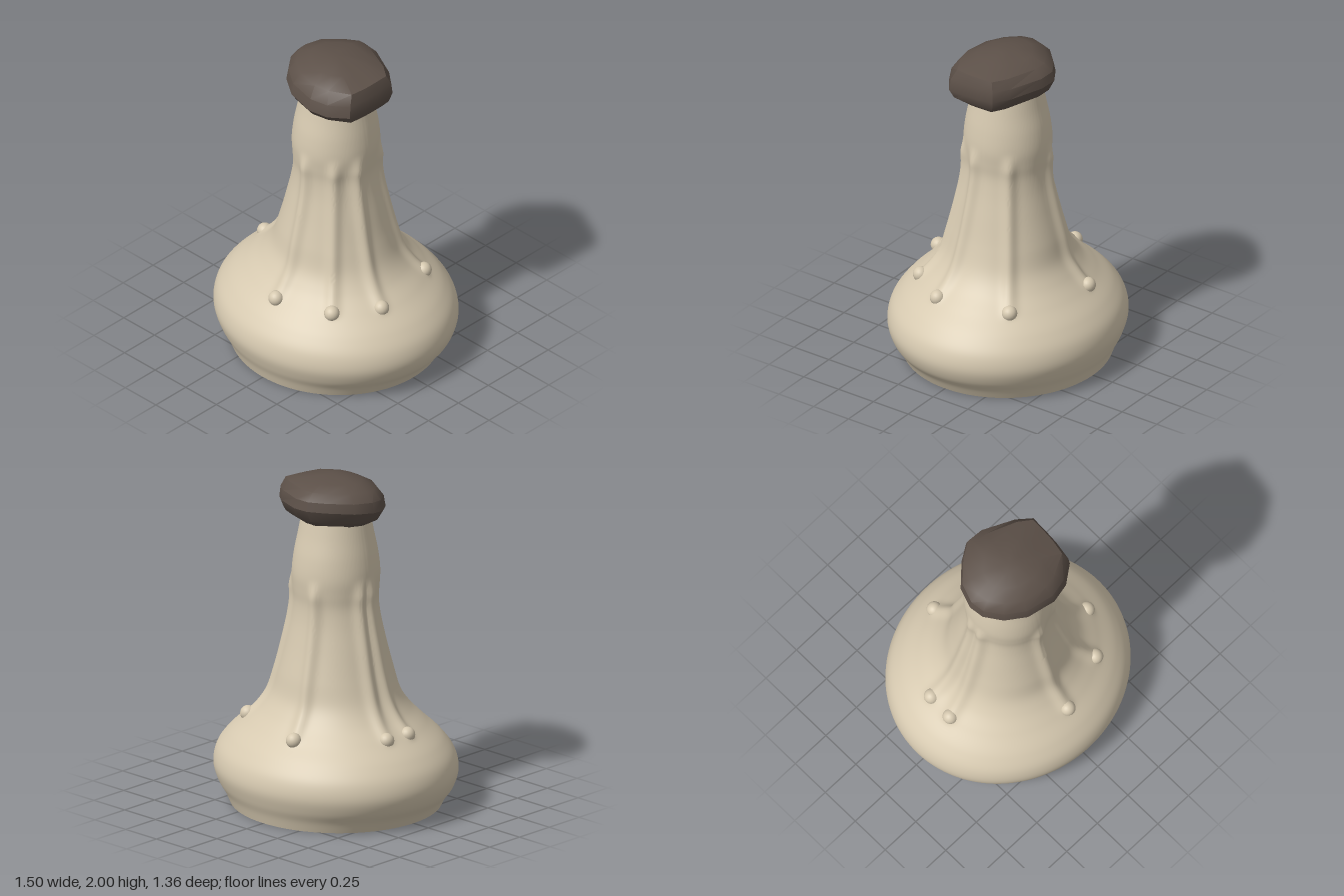
import * as THREE from 'three';
import { toCreasedNormals } from 'three/addons/utils/BufferGeometryUtils.js';

// Body half-width (x), height (y) and half-depth (z)
const profile = new THREE.CatmullRomCurve3([
  [0.63, 0, 0.61], [0.665, 0.06, 0.63], [0.72, 0.13, 0.66], [0.748, 0.22, 0.682], [0.73, 0.31, 0.665],
  [0.665, 0.4, 0.605], [0.55, 0.5, 0.505], [0.45, 0.59, 0.425], [0.39, 0.68, 0.37], [0.34, 0.82, 0.335],
  [0.295, 1.0, 0.29], [0.262, 1.15, 0.26], [0.248, 1.25, 0.252], [0.252, 1.33, 0.258], [0.256, 1.42, 0.262],
  [0.245, 1.53, 0.25], [0.222, 1.66, 0.222], [0.2, 1.78, 0.2],
].map(p => new THREE.Vector3(...p)), false, 'centripetal');

// Plan positions (x, z) of the lower ends of the drips
const drips = [[0, 0.48], [0.32, 0.36], [0.47, 0.13], [0.39, -0.29], [-0.12, -0.46], [-0.47, -0.1], [-0.47, 0.05]];
const dripAngles = drips.map(([x, z]) => Math.atan2(z, x));

// Raised height of the drip ridges at an angle, height and radius
function ridge(angle, y, radius) {
  const fade = THREE.MathUtils.smoothstep(y, 0.47, 0.53) * (1 - THREE.MathUtils.smoothstep(y, 1.3, 1.43));
  let h = 0;
  for (const a of dripAngles) {
    const d = Math.atan2(Math.sin(angle - a), Math.cos(angle - a)) * radius;
    h = Math.max(h, Math.exp(-((d / 0.038) ** 2)));
  }
  return 0.027 * h * fade;
}

// Skin rings of points (listed bottom to top) and close both ends
function skin(rings) {
  const n = rings[0].length, pos = [], idx = [];
  rings.forEach(r => r.forEach(p => pos.push(p.x, p.y, p.z)));
  for (let j = 0; j < rings.length - 1; j++) {
    for (let i = 0; i < n; i++) {
      const a = j * n + i, b = j * n + (i + 1) % n;
      idx.push(a, a + n, b, b, a + n, b + n);
    }
  }
  [0, rings.length - 1].forEach((j, end) => {
    const c = rings[j].reduce((s, p) => s.add(p), new THREE.Vector3()).divideScalar(n);
    const centre = pos.length / 3;
    pos.push(c.x, c.y, c.z);
    for (let i = 0; i < n; i++) {
      const a = j * n + i, b = j * n + (i + 1) % n;
      if (end) idx.push(centre, b, a);
      else idx.push(centre, a, b);
    }
  });
  const g = new THREE.BufferGeometry();
  g.setAttribute('position', new THREE.Float32BufferAttribute(pos, 3));
  g.setIndex(idx);
  g.computeVertexNormals();
  return g;
}

function bodyGeometry() {
  const rings = profile.getSpacedPoints(110).map(p => {
    const ring = [];
    for (let i = 0; i < 200; i++) {
      const t = i / 200 * Math.PI * 2;
      const x = p.x * Math.cos(t), z = p.z * Math.sin(t);
      const r = Math.hypot(x, z), k = 1 + ridge(Math.atan2(z, x), p.y, r) / r;
      ring.push(new THREE.Vector3(x * k, p.y, z * k));
    }
    return ring;
  });
  return toCreasedNormals(skin(rings), 0.8);
}

function capGeometry() {
  // Irregular plan outline, running from +x towards +z
  const outline = [[0.333, -0.02], [0.328, 0.08], [0.31, 0.2], [0.2, 0.28], [0.08, 0.305], [-0.1, 0.27],
    [-0.22, 0.19], [-0.295, 0.09], [-0.31, 0], [-0.27, -0.12], [-0.15, -0.235], [-0.05, -0.297],
    [0.06, -0.29], [0.25, -0.2], [0.335, -0.13]];
  // Height, scale and tilt of each level
  const levels = [[1.735, 0.7, 0.3], [1.765, 0.88, 0.6], [1.825, 1, 1], [1.89, 0.96, 0.7],
    [1.945, 0.8, 0.4], [1.98, 0.52, 0.2], [1.998, 0.2, 0]];
  const rings = levels.map(([y, s, tilt], j) => outline.map(([x, z]) => {
    const wide = x > 0.2 && j < 5 ? s + (1 - s) * 0.6 : s;
    return new THREE.Vector3(x * wide, y - tilt * (0.1 * z + 0.04 * x), z * s);
  }));
  return toCreasedNormals(skin(rings), 0.55);
}

export function createModel() {
  const group = new THREE.Group();
  const cream = new THREE.MeshStandardMaterial({ color: 0xd6c9b0 });
  cream.name = 'cream';
  const darkBrown = new THREE.MeshStandardMaterial({ color: 0x5c5048 });
  darkBrown.name = 'dark brown';
  const add = (name, geometry, material) => {
    const mesh = new THREE.Mesh(geometry, material);
    mesh.name = name;
    group.add(mesh);
    return mesh;
  };

  add('body', bodyGeometry(), cream);
  add('cap', capGeometry(), darkBrown);

  // Rounded drop at the foot of each drip
  drips.forEach(([x, z]) => {
    const drop = add('dripEnd', new THREE.SphereGeometry(0.046, 20, 14), cream);
    const k = 0.505 / Math.hypot(x / 1.05, z / 0.99);
    drop.position.set(x * k, 0.51, z * k);
  });
  return group;
}
